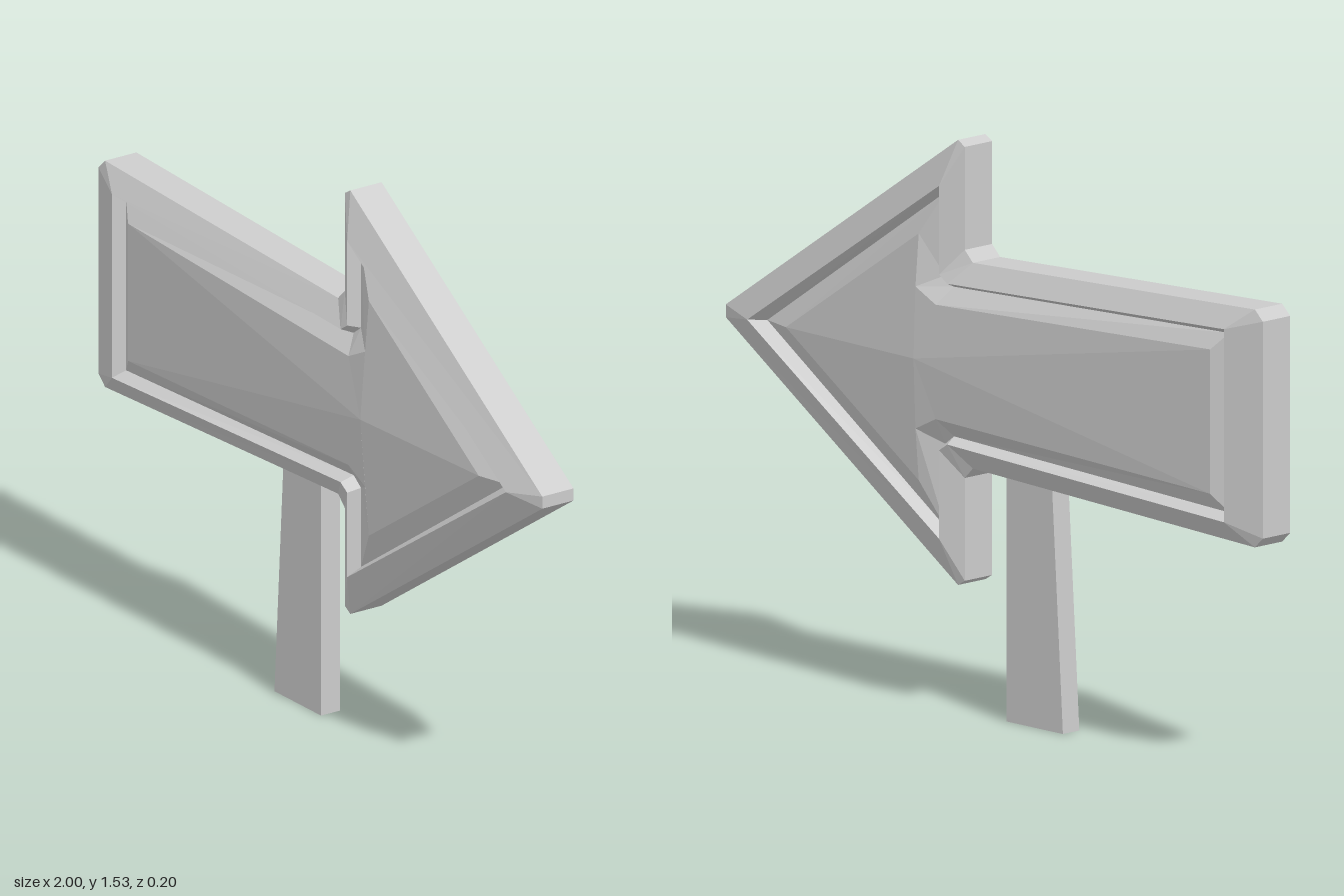
import * as THREE from 'three';

const AXIS = 0.9375; // height of the arrow's line of symmetry

// Half outlines from tail to tip: [x, distance from axis, z]
const edge = [[-1, 0.29], [-0.97, 0.318], [0.08, 0.275], [0.11, 0.305], [0.11, 0.58], [0.135, 0.595], [1, 0.017]]
  .map(([x, d]) => [x, d, 0.05]);
const rim = [[-0.89, 0.258], [-0.89, 0.258], [0.14, 0.215], [0.17, 0.235], [0.17, 0.472], [0.17, 0.472], [0.885, 0]]
  .map(([x, d]) => [x, d, 0.085]);
const groove = [[-0.875, 0.24], [-0.875, 0.24], [0.15, 0.2], [0.183, 0.225], [0.183, 0.447], [0.183, 0.447], [0.845, 0]]
  .map(([x, d]) => [x, d, 0.05]);
const panel = [[-0.83, 0.193, 0.076], [-0.83, 0.193, 0.076], [0.18, 0.153, 0.088], [0.255, 0.19, 0.088],
  [0.255, 0.33, 0.076], [0.255, 0.33, 0.076], [0.75, 0, 0.076]];
const peak = edge.map(() => [0.25, 0, 0.1]);

// Mirrors a half outline into a full counter-clockwise ring
function ring(half, side) {
  const point = (sign) => ([x, d, z]) => new THREE.Vector3(x, AXIS + sign * d, side * z);
  return [...half.map(point(-1)), ...half.map(point(1)).reverse()];
}

// Joins successive rings with triangles, leaving out collapsed ones
function skin(rings) {
  const points = [];
  const add = (a, b, c) => {
    if (new THREE.Triangle(a, b, c).getArea() > 1e-7) points.push(a, b, c);
  };
  for (let k = 0; k + 1 < rings.length; k++) {
    const lower = rings[k], upper = rings[k + 1];
    for (let i = 0; i < lower.length; i++) {
      const j = (i + 1) % lower.length;
      add(lower[i], lower[j], upper[j]);
      add(lower[i], upper[j], upper[i]);
    }
  }
  const geometry = new THREE.BufferGeometry().setFromPoints(points);
  geometry.computeVertexNormals();
  return geometry;
}

export function createModel() {
  const group = new THREE.Group();
  group.name = 'arrowSign';
  const material = new THREE.MeshStandardMaterial({ color: 0xcccccc, flatShading: true });

  // Arrow board: back peak, out to the edge, and in again to the front peak
  const layers = [peak, panel, groove, rim, edge];
  const rings = [
    ...layers.map((half) => ring(half, -1)),
    ...layers.slice().reverse().map((half) => ring(half, 1)),
  ];
  const board = new THREE.Mesh(skin(rings), material);
  board.name = 'arrowBoard';
  group.add(board);

  // Tapered post, its top hidden inside the board
  const outline = new THREE.Shape([
    new THREE.Vector2(-0.235, 0), new THREE.Vector2(-0.025, 0),
    new THREE.Vector2(-0.025, 0.73), new THREE.Vector2(-0.19, 0.73),
  ]);
  const postGeometry = new THREE.ExtrudeGeometry(outline, { depth: 0.06, bevelEnabled: false });
  postGeometry.translate(0, 0, -0.03);
  const post = new THREE.Mesh(postGeometry, material);
  post.name = 'post';
  group.add(post);

  return group;
}
